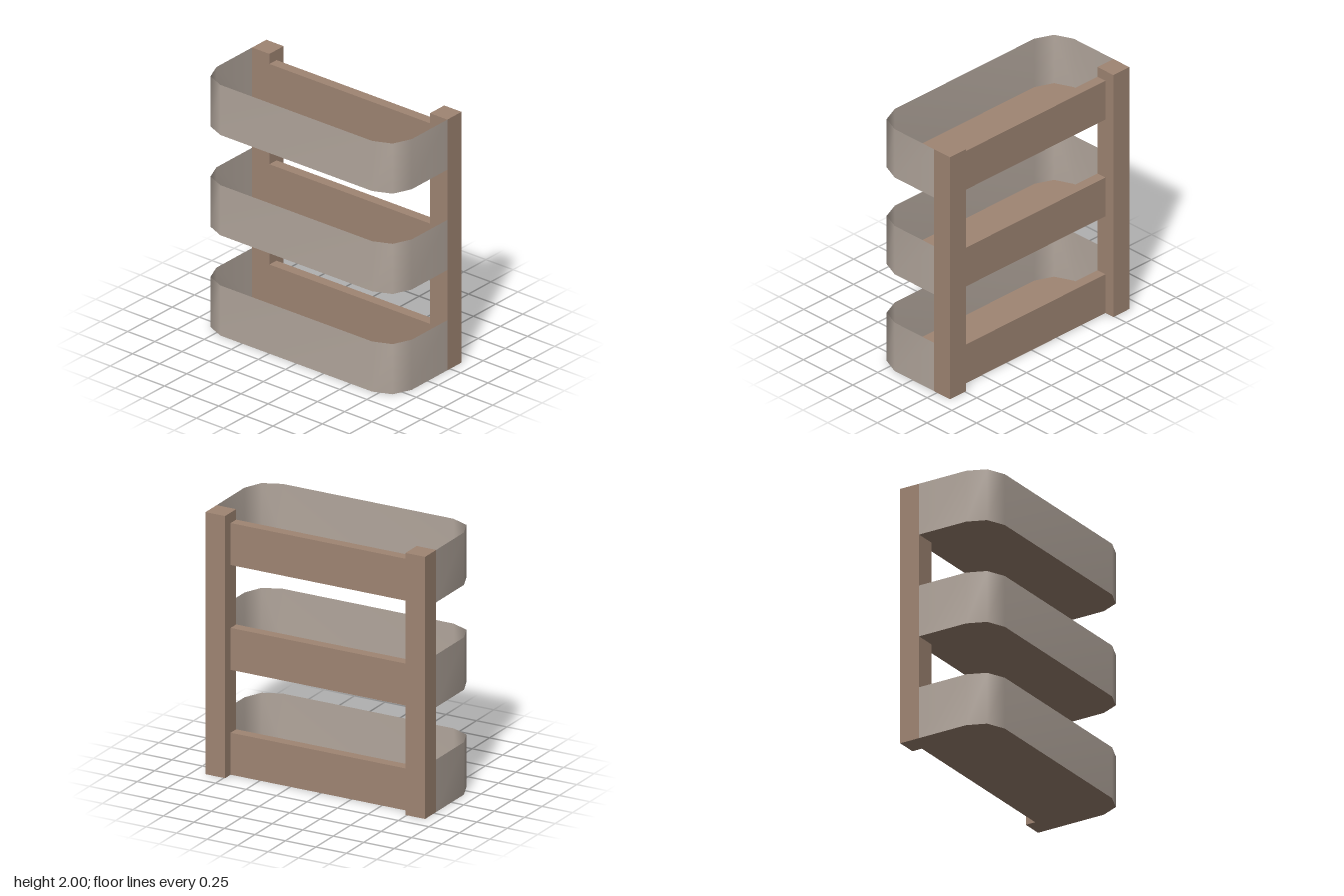
import * as THREE from 'three';

const wood = new THREE.MeshStandardMaterial({ color: 0x9f8573, side: THREE.DoubleSide });
wood.name = 'brown wood';
const band = new THREE.MeshStandardMaterial({ color: 0xb3a79d, side: THREE.DoubleSide });
band.name = 'pale grey brown';

// Tray outline in (x, z): open towards the posts, with chamfered far corners
const half = [[0.22, 0.9], [-0.18, 0.9], [-0.32, 0.84], [-0.38, 0.7]];
const outline = [...half, ...half.map(([x, z]) => [x, -z]).reverse()];

function box(name, x0, x1, y0, y1, z0, z1) {
  const mesh = new THREE.Mesh(new THREE.BoxGeometry(x1 - x0, y1 - y0, z1 - z0), wood);
  mesh.position.set((x0 + x1) / 2, (y0 + y1) / 2, (z0 + z1) / 2);
  mesh.name = name;
  return mesh;
}

// Thin upright band following the outline, smooth around the corners
function bandGeometry(height) {
  const positions = [], indices = [];
  outline.forEach(([x, z], i) => {
    positions.push(x, 0, z, x, height, z);
    if (i < outline.length - 1) {
      const a = i * 2;
      indices.push(a, a + 1, a + 2, a + 1, a + 3, a + 2);
    }
  });
  const geometry = new THREE.BufferGeometry();
  geometry.setAttribute('position', new THREE.Float32BufferAttribute(positions, 3));
  geometry.setIndex(indices);
  geometry.computeVertexNormals();
  return geometry;
}

export function createModel() {
  const model = new THREE.Group();
  model.name = 'shelfRack';

  // Two square posts
  model.add(box('frontPost', 0.22, 0.38, 0, 2, 0.74, 0.9));
  model.add(box('backPost', 0.22, 0.38, 0, 2, -0.9, -0.74));

  const wallGeometry = bandGeometry(0.4);
  const floorGeometry = new THREE.ShapeGeometry(
    new THREE.Shape(outline.map(([x, z]) => new THREE.Vector2(x, z))));
  floorGeometry.rotateX(-Math.PI / 2);

  // Three trays: floor sheet, curved wall and a rail between the posts
  for (const y of [0, 0.8, 1.6]) {
    const tray = new THREE.Group();
    tray.name = 'tray';
    tray.position.y = y;
    const floor = new THREE.Mesh(floorGeometry, wood);
    floor.name = 'trayFloor';
    const wall = new THREE.Mesh(wallGeometry, band);
    wall.name = 'trayWall';
    tray.add(floor, wall, box('rail', 0.22, 0.3, 0, 0.32, -0.74, 0.74));
    model.add(tray);
  }
  return model;
}
